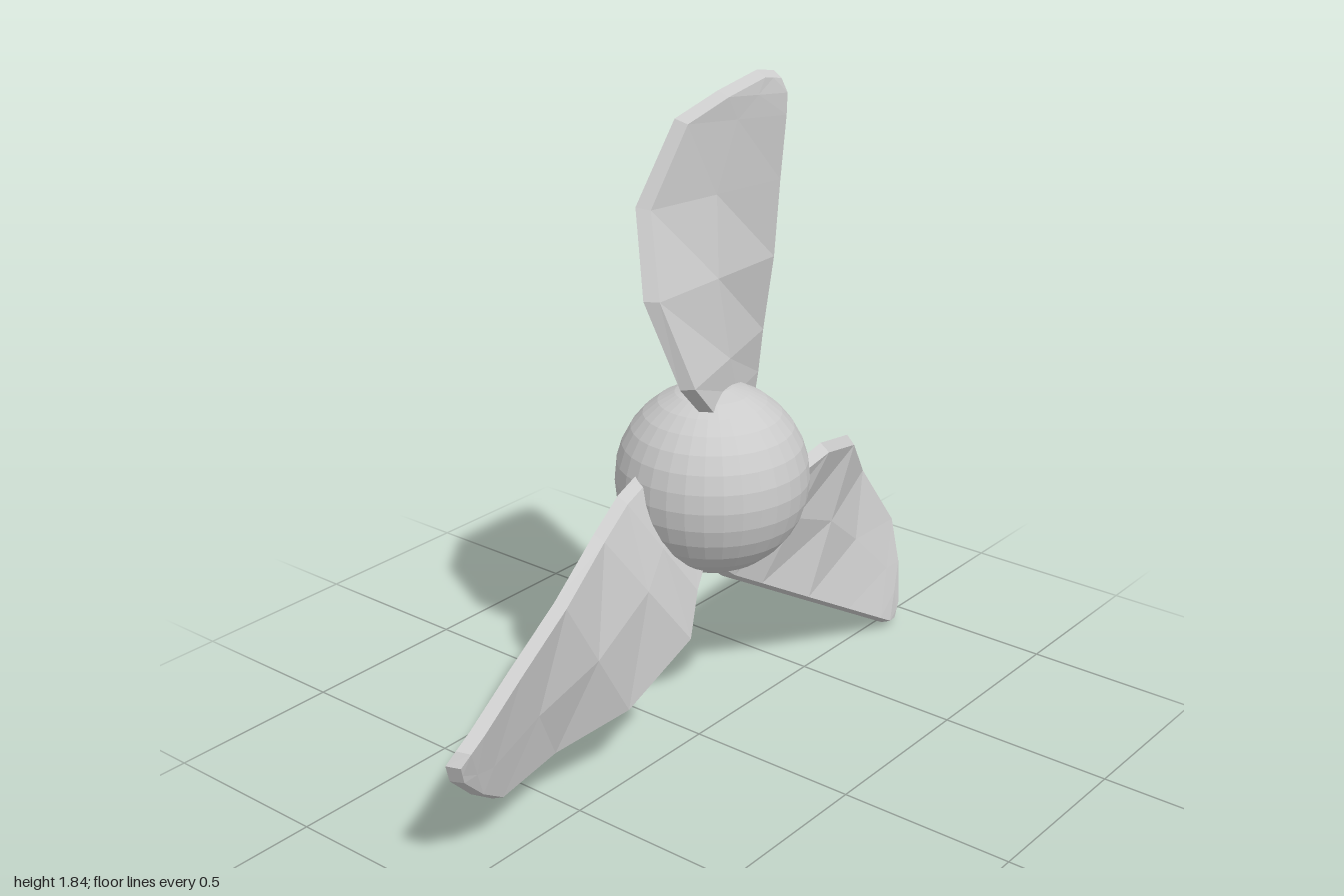
import * as THREE from 'three';

const material = new THREE.MeshStandardMaterial({ color: 0xcccccc, flatShading: true, side: THREE.DoubleSide });

// Blade stations from root to tip: curved edge [x, y, z], straight edge [x, y, z]
const STATIONS = [
  [[0.055, 0.1, 0.02], [-0.05, 0.05, -0.2]],
  [[0.062, 0.25, 0.12], [-0.04, 0.25, -0.235]],
  [[0.07, 0.35, 0.22], [-0.025, 0.38, -0.235]],
  [[0.0, 0.59, 0.28], [0.008, 0.6, -0.235]],
  [[-0.072, 0.81, 0.22], [0.025, 0.82, -0.235]],
  [[-0.04, 1.02, 0.1], [0.042, 1.0, -0.235]],
  [[-0.002, 1.075, -0.03], [0.044, 1.06, -0.235]],
  [[0.024, 1.11, -0.16], [0.034, 1.1, -0.22]],
];
const COLS = 3;
const HALF = 0.017;

function bladeGeometry() {
  const rows = STATIONS.length, count = rows * COLS;
  const pos = [], idx = [];
  // two skins, the +x one inset so the rim is slanted
  for (const side of [1, -1]) {
    const sz = side > 0 ? 0.9 : 0.97, sy = side > 0 ? 0.965 : 0.99;
    for (const [b, a] of STATIONS) {
      for (let j = 0; j < COLS; j++) {
        const [x, y, z] = b.map((v, k) => v + (a[k] - v) * j / (COLS - 1));
        pos.push(x + side * HALF, 0.55 + (y - 0.55) * sy, -0.05 + (z + 0.05) * sz);
      }
    }
  }
  for (let i = 0; i < rows - 1; i++) {
    for (let j = 0; j < COLS - 1; j++) {
      const a = i * COLS + j, b = a + 1, c = a + COLS, d = c + 1, n = count;
      idx.push(a, b, c, b, d, c);
      idx.push(a + n, c + n, b + n, b + n, c + n, d + n);
    }
  }
  // rim joining the two skins
  const loop = [];
  for (let j = 0; j < COLS; j++) loop.push(j);
  for (let i = 1; i < rows; i++) loop.push(i * COLS + COLS - 1);
  for (let j = COLS - 2; j >= 0; j--) loop.push((rows - 1) * COLS + j);
  for (let i = rows - 2; i > 0; i--) loop.push(i * COLS);
  loop.forEach((p, k) => {
    const q = loop[(k + 1) % loop.length];
    idx.push(p, p + count, q + count, p, q + count, q);
  });
  const g = new THREE.BufferGeometry();
  g.setAttribute('position', new THREE.Float32BufferAttribute(pos, 3));
  g.setIndex(idx);
  g.computeVertexNormals();
  return g;
}

export function createModel() {
  const model = new THREE.Group();
  model.name = 'propeller';

  // Hub
  const hub = new THREE.Mesh(new THREE.SphereGeometry(0.262, 32, 16), material);
  hub.name = 'hub';
  hub.position.set(0, 0.757, -0.057);
  model.add(hub);

  // Three twisted blades around the x axis
  const blades = new THREE.Group();
  blades.name = 'blades';
  blades.position.set(0, 0.72, -0.07);
  const geometry = bladeGeometry();
  ['topBlade', 'frontBlade', 'backBlade'].forEach((name, i) => {
    const blade = new THREE.Mesh(geometry, material);
    blade.name = name;
    blade.rotation.x = i * Math.PI * 2 / 3;
    blades.add(blade);
  });
  model.add(blades);
  return model;
}
